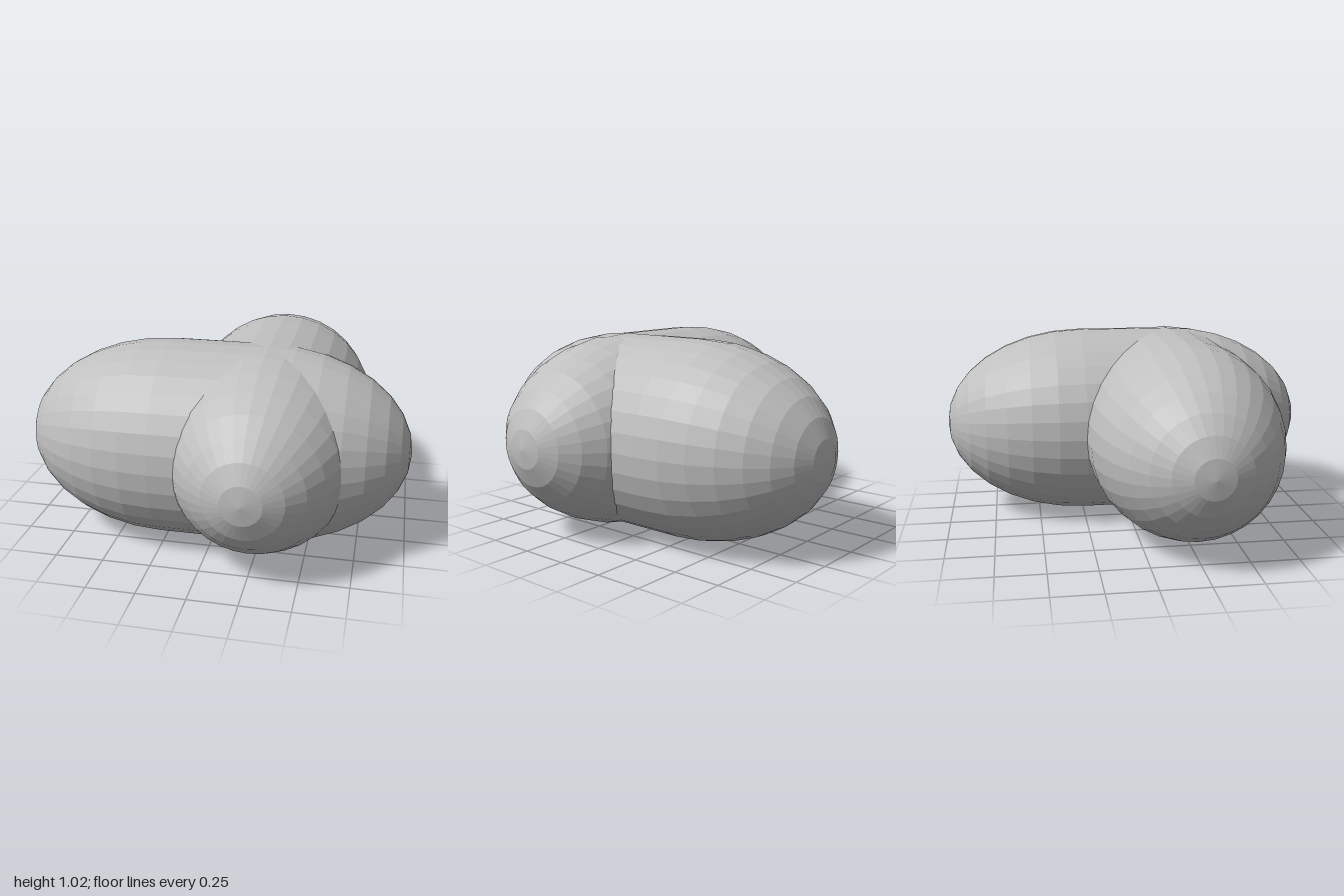
import * as THREE from 'three';

// Elongated capsule along y: straight middle with stretched elliptical caps
function capsuleGeometry(radius, halfStraight, capLength, rings, sides) {
  const points = [];
  for (const end of [-1, 1]) {
    for (let i = 0; i <= rings; i++) {
      const step = end < 0 ? i : rings - i;
      const a = (step / rings) * Math.PI / 2;
      const r = step === 0 ? 0 : radius * Math.sin(a);
      points.push(new THREE.Vector2(r, end * (halfStraight + capLength * Math.cos(a))));
    }
  }
  // Separate facets give the faceted look
  const geometry = new THREE.LatheGeometry(points, sides).toNonIndexed();
  geometry.computeVertexNormals();
  return geometry;
}

export function createModel() {
  const group = new THREE.Group();
  group.name = 'crossedCapsules';

  const grey = new THREE.MeshStandardMaterial({ color: 0xbfbfbf });
  grey.name = 'grey';

  const radius = 0.512;
  const offset = 0.255;
  const geometry = capsuleGeometry(radius, 0.25, 0.75, 8, 32);

  // Capsule lying from side to side, toward the front
  const sideways = new THREE.Mesh(geometry, grey);
  sideways.name = 'sidewaysCapsule';
  sideways.rotation.z = Math.PI / 2;
  sideways.position.set(0, radius, offset);

  // Capsule lying from front to back, toward the left
  const lengthways = new THREE.Mesh(geometry, grey);
  lengthways.name = 'lengthwaysCapsule';
  lengthways.rotation.x = Math.PI / 2;
  lengthways.position.set(offset, radius, 0);

  group.add(sideways, lengthways);
  return group;
}
